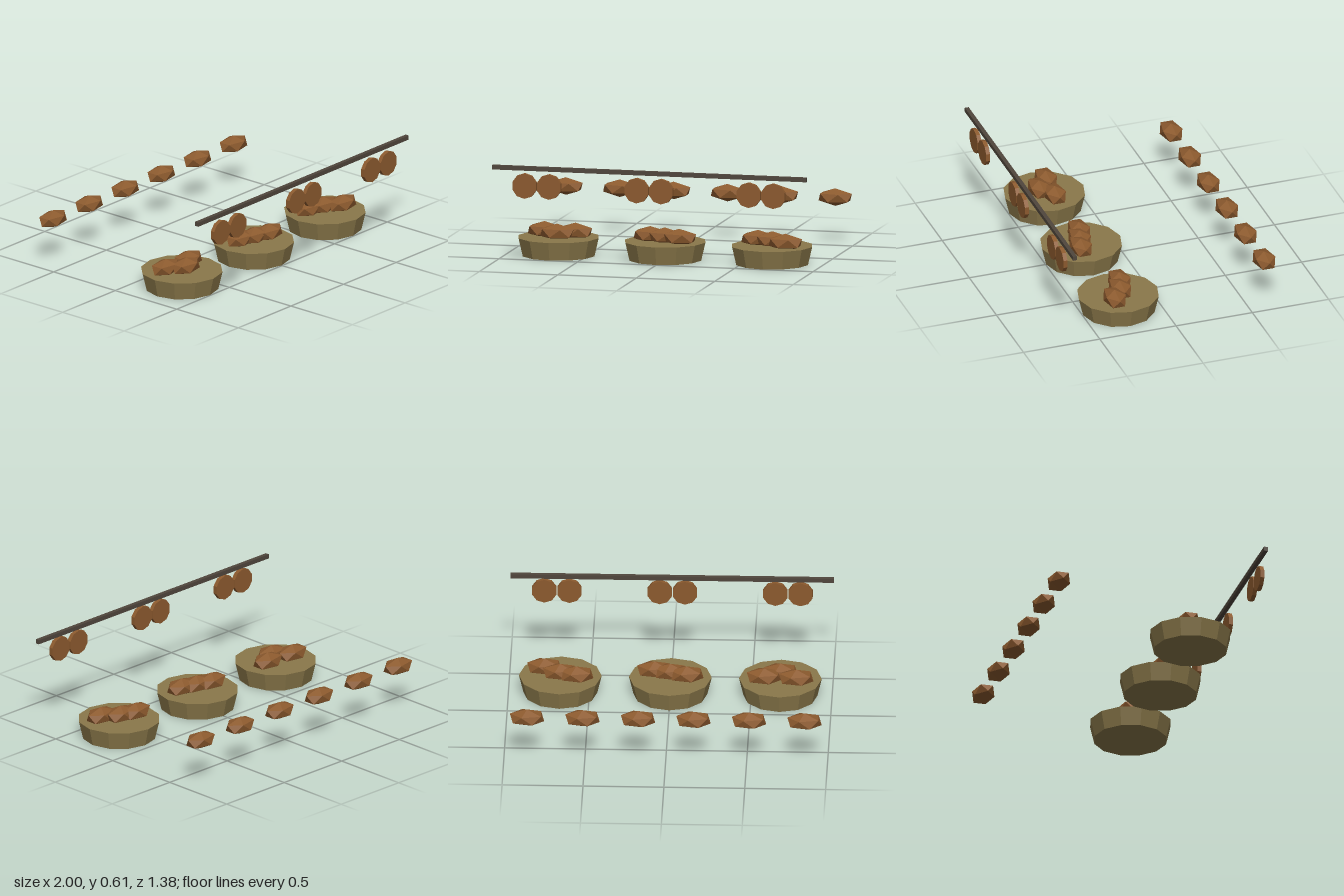
import * as THREE from 'three';
import { ConvexGeometry } from 'three/addons/geometries/ConvexGeometry.js';

export function createModel() {
  const model = new THREE.Group();
  const make = (name, color) => {
    const m = new THREE.MeshStandardMaterial({ color, flatShading: true });
    m.name = name;
    return m;
  };
  const crust = make('crust brown', 0x8c5a2e);
  const wicker = make('wicker tan', 0x8a784a);
  const darkWood = make('dark wood', 0x50463c);

  const add = (name, geometry, material, x, y, z) => {
    const mesh = new THREE.Mesh(geometry, material);
    mesh.name = name;
    mesh.position.set(x, y, z);
    model.add(mesh);
    return mesh;
  };

  // Loaf: a stretched icosahedron with a vertex at top and bottom
  const points = [new THREE.Vector3(0, 1, 0), new THREE.Vector3(0, -1, 0)];
  const ring = 2 / Math.sqrt(5);
  for (let k = 0; k < 5; k++) {
    const a = (k * Math.PI * 2) / 5;
    const x = ring * Math.cos(a), z = ring * Math.sin(a);
    points.push(new THREE.Vector3(x, ring / 2, z), new THREE.Vector3(-x, -ring / 2, -z));
  }
  const loaf = new ConvexGeometry(points);
  loaf.scale(0.119, 0.055, 0.0735);

  // Three baskets, each holding three loaves
  const basket = new THREE.CylinderGeometry(0.256, 0.229, 0.114, 12);
  const loafDepths = [[0.222, 0.302, 0.235], [0.246, 0.277, 0.306], [0.223, 0.255, 0.325]];
  loafDepths.forEach((depths, i) => {
    const x = (i - 1) * 0.68;
    add('basket', basket, wicker, x, 0.057, 0.267);
    depths.forEach((z, j) => add('basketLoaf', loaf, crust, x + (j - 1) * 0.1, 0.146, z));
  });

  // Row of loaves at the back
  for (let i = 0; i < 6; i++) {
    add('backLoaf', loaf, crust, (i - 2.5) * 0.343, 0.28, -0.627);
  }

  // Rail with pairs of round flat breads in front
  add('rail', new THREE.BoxGeometry(2, 0.027, 0.026), darkWood, 0, 0.601, 0.662);
  const disc = new THREE.CylinderGeometry(0.079, 0.079, 0.026, 10);
  disc.rotateX(Math.PI / 2);
  for (const x of [-0.714, 0, 0.714]) {
    for (const side of [-1, 1]) add('roundBread', disc, crust, x + side * 0.078, 0.493, 0.677);
  }
  return model;
}
